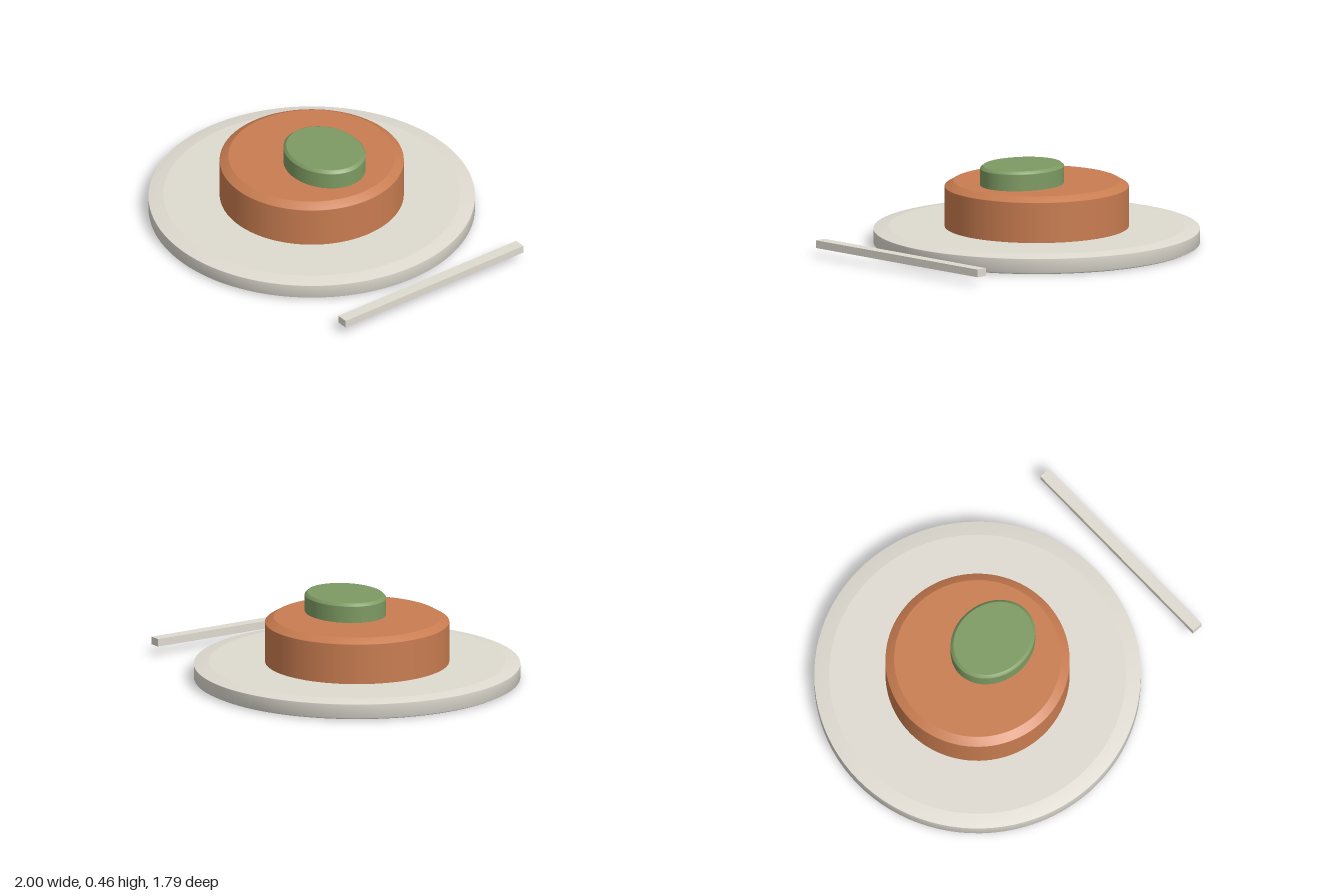
import * as THREE from 'three';

const mat = (color) => new THREE.MeshStandardMaterial({ color });

// Closed disc with softly shaded chamfers; each chamfer is [inset, height]
function disc(name, radius, y0, y1, bottom, top, material) {
  const e = 0.003;
  const profile = [[0, y0]];
  if (bottom) {
    profile.push([radius - bottom[0] - e, y0], [radius - bottom[0], y0], [radius, y0 + bottom[1]]);
  } else {
    profile.push([radius - e, y0], [radius, y0], [radius, y0 + e]);
  }
  profile.push(
    [radius, y1 - top[1] - e], [radius, y1 - top[1]],
    [radius - top[0], y1], [radius - top[0] - e, y1], [0, y1]
  );
  const geometry = new THREE.LatheGeometry(profile.map(([r, y]) => new THREE.Vector2(r, y)), 96);
  const mesh = new THREE.Mesh(geometry, material);
  mesh.name = name;
  return mesh;
}

export function createModel() {
  const model = new THREE.Group();
  model.name = 'servedPlate';
  const pale = mat(0xdedad0);

  // Wide shallow plate
  const plate = disc('plate', 0.895, 0, 0.103, [0.025, 0.012], [0.08, 0.013], pale);
  plate.position.x = -0.105;

  // Thick round main portion
  const patty = disc('mainPortion', 0.505, 0.1, 0.355, null, [0.046, 0.027], mat(0xc87c50));
  patty.position.x = -0.105;

  // Oval garnish, set off-centre on top
  const garnish = disc('garnish', 0.25, 0.352, 0.463, null, [0.016, 0.014], mat(0x7d9a62));
  garnish.position.x = 0.01;
  garnish.scale.z = 0.84;

  // Straight bar lying beside the plate
  const bar = new THREE.Mesh(new THREE.BoxGeometry(0.065, 0.043, 1.23), pale);
  bar.name = 'sideBar';
  bar.position.set(0.9675, 0.071, 0);

  model.add(plate, patty, garnish, bar);
  return model;
}
